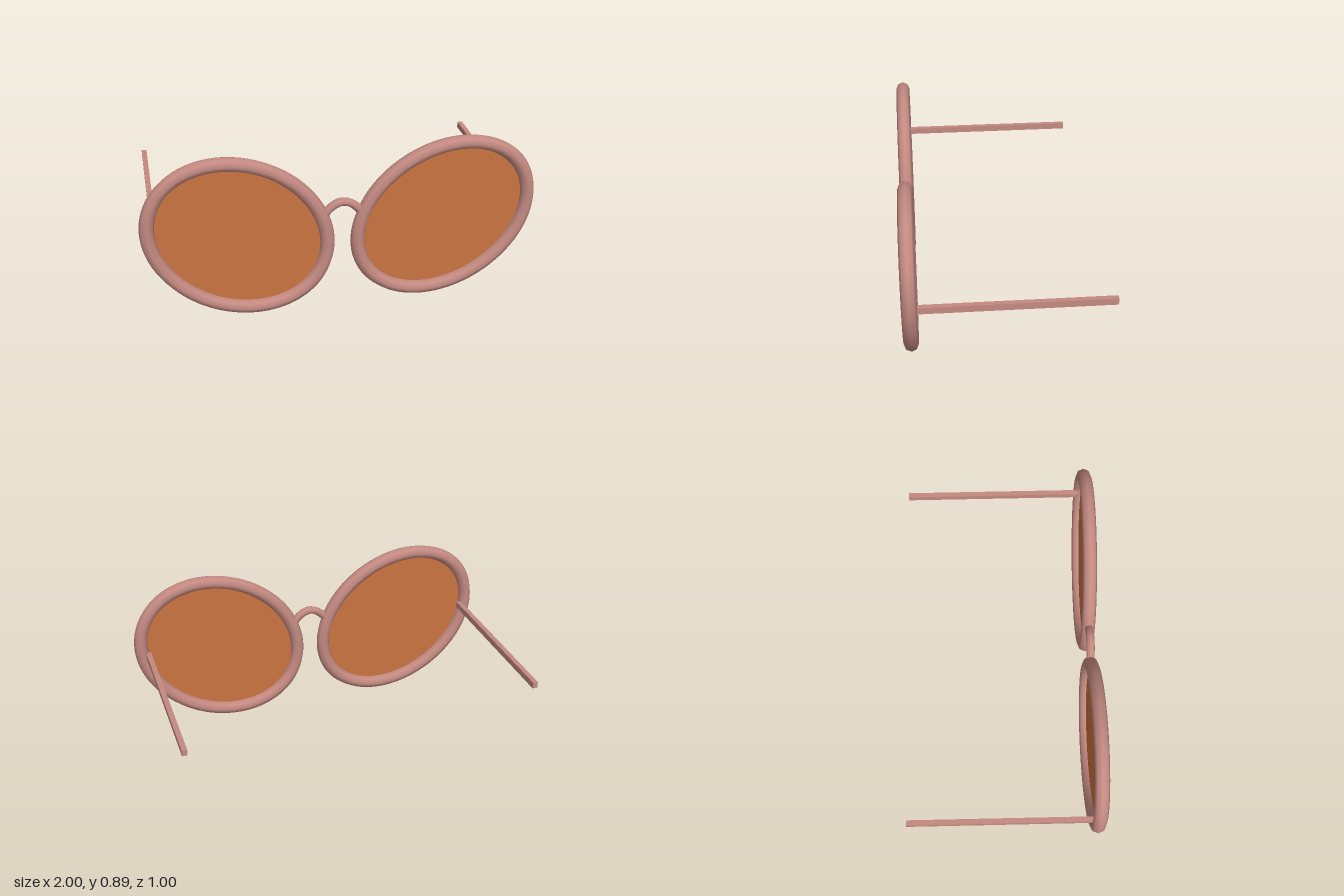
import * as THREE from 'three';

const frameMat = new THREE.MeshStandardMaterial({ color: 0xc48a82 });
const lensMat = new THREE.MeshStandardMaterial({ color: 0xc87340, side: THREE.DoubleSide });

const FRONT_Z = 0.466;
const RX = 0.469, RY = 0.381, TILT = 0.6; // rim centre line

// Closed tilted ellipse
class RimCurve extends THREE.Curve {
  getPoint(t, target = new THREE.Vector3()) {
    const a = t * Math.PI * 2;
    return target.set(RX * Math.cos(a), RY * Math.sin(a), 0);
  }
}

function addMesh(parent, name, geometry, material, x = 0, y = 0, z = 0) {
  const mesh = new THREE.Mesh(geometry, material);
  mesh.name = name;
  mesh.position.set(x, y, z);
  parent.add(mesh);
  return mesh;
}

export function createModel() {
  const model = new THREE.Group();
  model.name = 'sunglasses';

  for (const [side, s] of [['left', 1], ['right', -1]]) {
    // Rim and lens share the tilt, mirrored on each side
    const eye = new THREE.Group();
    eye.name = side + 'Eye';
    eye.position.set(s * 0.52, 0.449, FRONT_Z);
    eye.rotation.z = s * TILT;
    model.add(eye);
    addMesh(eye, side + 'Rim', new THREE.TubeGeometry(new RimCurve(), 96, 0.0365, 8, true), frameMat);
    addMesh(eye, side + 'Lens', new THREE.CircleGeometry(1, 64).scale(RX - 0.02, RY - 0.02, 1), lensMat);

    // Straight arm running back from the outer edge of the rim
    addMesh(model, side + 'Arm', new THREE.BoxGeometry(0.027, 0.034, 0.96), frameMat, s * 0.927, 0.478, -0.022);
  }

  // Arched nose bridge
  const arch = new THREE.QuadraticBezierCurve3(
    new THREE.Vector3(-0.085, 0.54, FRONT_Z),
    new THREE.Vector3(0, 0.645, FRONT_Z),
    new THREE.Vector3(0.085, 0.54, FRONT_Z)
  );
  addMesh(model, 'bridge', new THREE.TubeGeometry(arch, 24, 0.022, 8, false), frameMat);

  return model;
}
